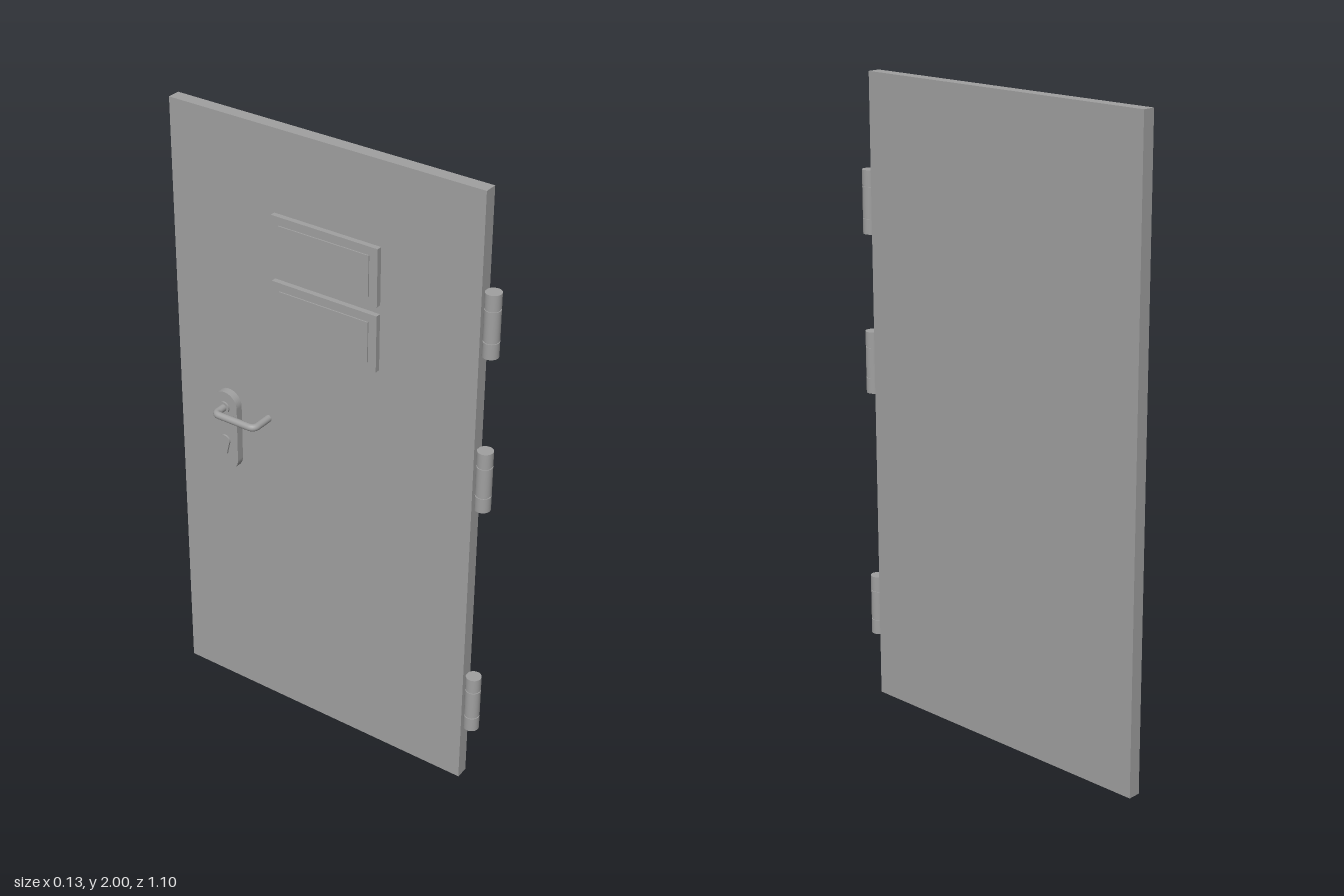
import * as THREE from 'three';

export function createModel() {
  const door = new THREE.Group();
  door.name = 'door';
  const grey = new THREE.MeshStandardMaterial({ color: 0xa0a0a0 });
  grey.name = 'grey';

  const add = (name, geometry, parent = door) => {
    const mesh = new THREE.Mesh(geometry, grey);
    mesh.name = name;
    parent.add(mesh);
    return mesh;
  };

  // Box given by its minimum and maximum corners
  const box = (name, [x0, y0, z0], [x1, y1, z1]) =>
    add(name, new THREE.BoxGeometry(x1 - x0, y1 - y0, z1 - z0)
      .translate((x0 + x1) / 2, (y0 + y1) / 2, (z0 + z1) / 2));

  // Outline in (z, y), extruded from xStart towards -x
  const plate = (name, shape, xStart, depth) =>
    add(name, new THREE.ExtrudeGeometry(shape, { depth, bevelEnabled: false, curveSegments: 20 })
      .rotateY(-Math.PI / 2).translate(xStart, 0, 0));

  // Vertical slot outline with separate end radii
  const slot = (z, yLow, rLow, yHigh, rHigh) => {
    const s = new THREE.Shape();
    s.absarc(z, yHigh, rHigh, 0, Math.PI, false);
    s.absarc(z, yLow, rLow, Math.PI, Math.PI * 2, false);
    s.closePath();
    return s;
  };

  // Door leaf
  box('leaf', [0.017, 0, -0.548], [0.058, 2, 0.5]);

  // Hinges: a thin pin carrying three knuckles
  for (const y of [0.2, 1.007, 1.508]) {
    const hinge = new THREE.Group();
    hinge.name = 'hinge';
    hinge.position.set(0.04, y, 0.523);
    door.add(hinge);
    add('hingePin', new THREE.CylinderGeometry(0.021, 0.021, 0.19, 24).translate(0, 0.098, 0), hinge);
    for (const [a, b] of [[0, 0.047], [0.051, 0.145], [0.149, 0.196]]) {
      add('hingeKnuckle', new THREE.CylinderGeometry(0.024, 0.024, b - a, 32)
        .translate(0, (a + b) / 2, 0), hinge);
    }
  }

  // Two sign panels with raised faces
  for (const y of [1.355, 1.563]) {
    box('signPanel', [0, y, -0.183], [0.017, y + 0.18, 0.178]);
    box('signFace', [-0.004, y + 0.026, -0.155], [0, y + 0.154, 0.151]);
  }

  // Lock plate with keyhole cylinder
  plate('lockPlate', slot(-0.363, 0.876, 0.046, 1.058, 0.046), 0.017, 0.025);
  plate('lockCylinder', slot(-0.363, 0.893, 0.009, 0.934, 0.019), -0.008, 0.006);

  // Lever handle returning to the leaf
  add('handleCollar', new THREE.CylinderGeometry(0.019, 0.019, 0.006, 24)
    .rotateZ(Math.PI / 2).translate(-0.011, 1.052, -0.363));
  const p = (x, z) => new THREE.Vector3(x, 1.052, z);
  const path = new THREE.CurvePath();
  path.add(new THREE.LineCurve3(p(0, -0.363), p(-0.037, -0.363)));
  path.add(new THREE.QuadraticBezierCurve3(p(-0.037, -0.363), p(-0.056, -0.363), p(-0.056, -0.344)));
  path.add(new THREE.LineCurve3(p(-0.056, -0.344), p(-0.056, -0.235)));
  path.add(new THREE.QuadraticBezierCurve3(p(-0.056, -0.235), p(-0.056, -0.216), p(-0.037, -0.216)));
  path.add(new THREE.LineCurve3(p(-0.037, -0.216), p(0.018, -0.216)));
  add('handle', new THREE.TubeGeometry(path, 72, 0.0115, 16, false));

  return door;
}
